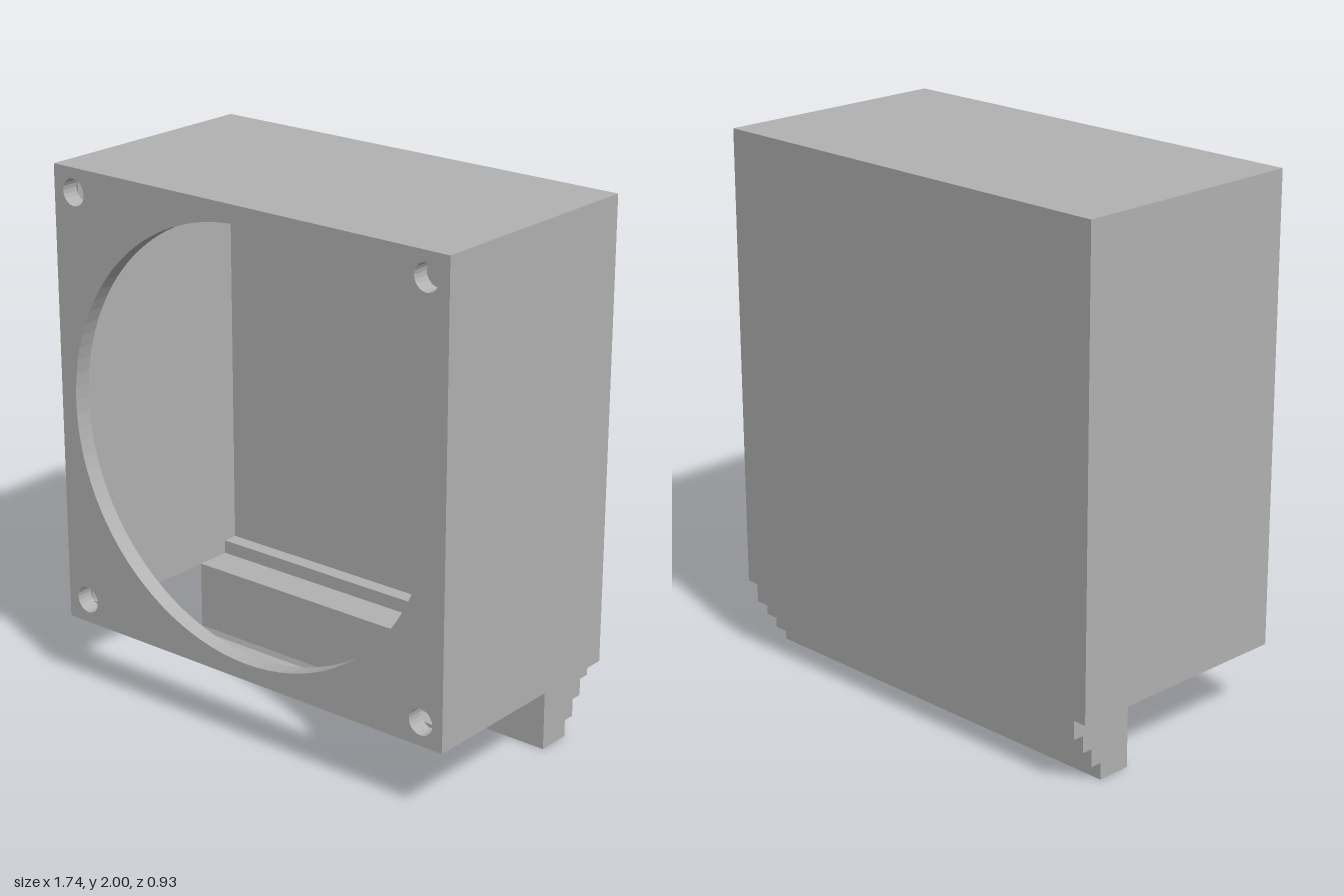
import * as THREE from 'three';

const W = 0.87, INNER = 0.82, BOTTOM = 0.265, TOP = 2, D = 0.465, DI = 0.4;

export function createModel() {
  const group = new THREE.Group();
  const grey = new THREE.MeshStandardMaterial({ color: 0xb2b2b2, flatShading: true });
  grey.name = 'grey plastic';

  const add = (name, geometry) => {
    const mesh = new THREE.Mesh(geometry, grey);
    mesh.name = name;
    group.add(mesh);
    return mesh;
  };
  // Box given by its lower and upper corners
  const block = (name, x0, x1, y0, y1, z0, z1) =>
    add(name, new THREE.BoxGeometry(x1 - x0, y1 - y0, z1 - z0))
      .position.set((x0 + x1) / 2, (y0 + y1) / 2, (z0 + z1) / 2);

  // Front plate with the round opening and four screw holes
  const plate = new THREE.Shape([
    new THREE.Vector2(-W, BOTTOM), new THREE.Vector2(W, BOTTOM),
    new THREE.Vector2(W, TOP), new THREE.Vector2(-W, TOP),
  ]);
  const cutHole = (x, y, r, sides) => {
    const points = [];
    for (let i = 0; i < sides; i++) {
      const a = (i / sides) * Math.PI * 2;
      points.push(new THREE.Vector2(x + r * Math.cos(a), y + r * Math.sin(a)));
    }
    plate.holes.push(new THREE.Path(points));
  };
  cutHole(0, 1.132, 0.802, 96);
  for (const x of [-0.778, 0.778])
    for (const y of [0.354, 1.91]) cutHole(x, y, 0.05, 20);
  add('frontPlate', new THREE.ExtrudeGeometry(plate, { depth: D - DI, bevelEnabled: false }))
    .position.z = DI;

  // Housing walls, open at the bottom
  block('backWall', -W, W, BOTTOM, TOP, -D, -DI);
  block('rightWall', -W, -INNER, BOTTOM, TOP, -DI, DI);
  block('leftWall', INNER, W, BOTTOM, TOP, -DI, DI);
  block('topWall', -INNER, INNER, TOP - 0.05, TOP, -DI, DI);

  // Inner lip along the bottom of the front plate
  block('frontLip', -INNER, INNER, BOTTOM, 0.318, 0.34, DI);

  // Stepped tongue under the back wall, profile as (-z, y)
  const profile = [
    [0.2, 0], [0.333, 0], [0.333, 0.063], [0.378, 0.063], [0.378, 0.13], [0.421, 0.13],
    [0.421, 0.195], [D, 0.195], [D, BOTTOM], [DI, BOTTOM], [DI, 0.318], [0.34, 0.318],
    [0.34, BOTTOM], [0.2, BOTTOM],
  ].map(([x, y]) => new THREE.Vector2(x, y));
  const tongue = new THREE.ExtrudeGeometry(new THREE.Shape(profile), { depth: INNER * 2, bevelEnabled: false });
  tongue.translate(0, 0, -INNER);
  tongue.rotateY(Math.PI / 2);
  add('steppedTongue', tongue);

  return group;
}
